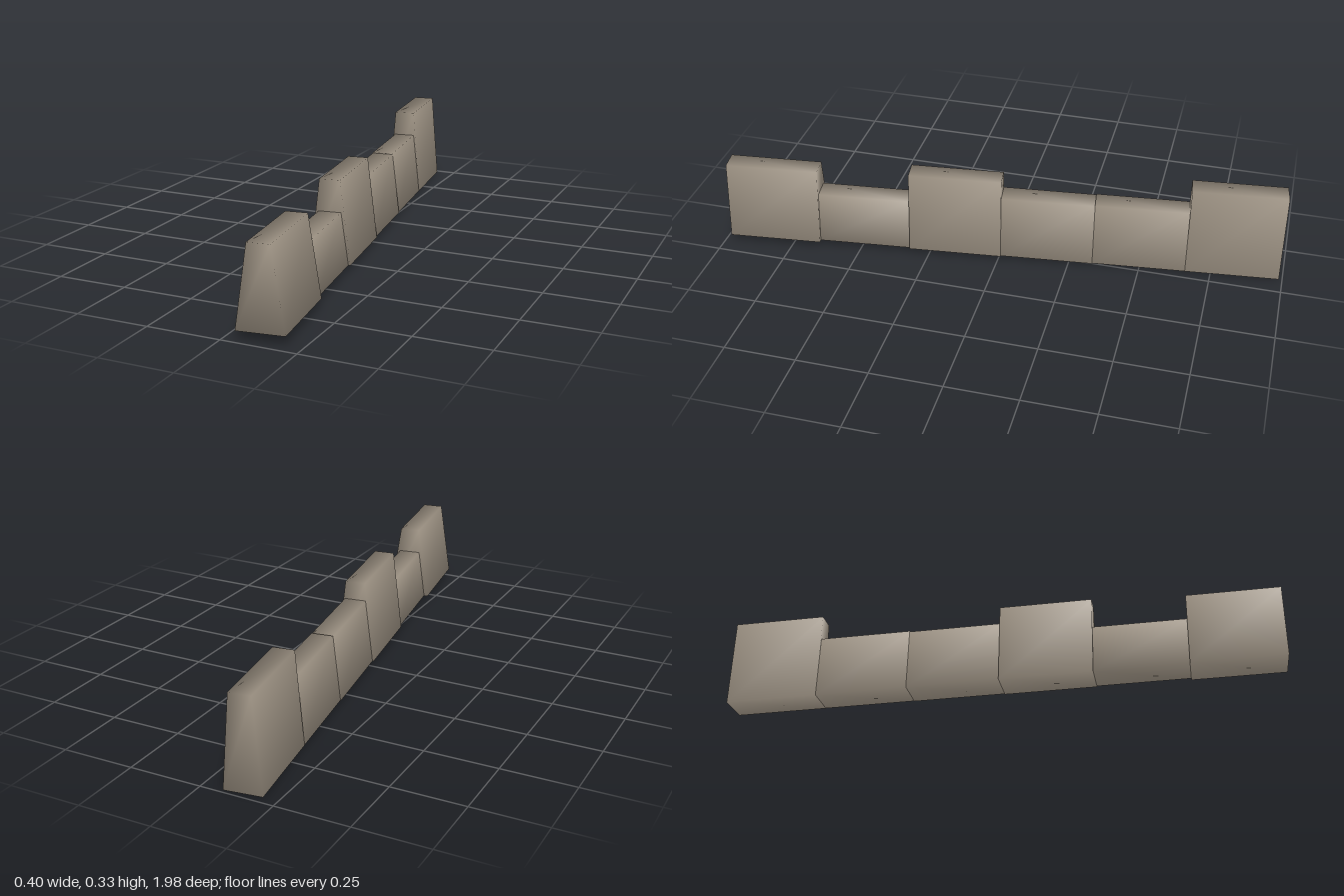
import * as THREE from 'three';
import { mergeVertices } from 'three/addons/utils/BufferGeometryUtils.js';

// Tapered stone block: local z runs along the wall, corners share smooth normals
function blockGeometry(i, height, baseWidth, topWidth) {
  const yaw = 0.131, half = 0.98 / Math.cos(yaw), step = (2 * half) / 6;
  const geo = new THREE.BoxGeometry(1, 1, 1);
  geo.deleteAttribute('normal');
  geo.deleteAttribute('uv');
  const pos = geo.attributes.position;
  for (let k = 0; k < pos.count; k++) {
    const top = pos.getY(k) > 0;
    const along = half - step * (i + 0.5 - pos.getZ(k));
    const across = pos.getX(k) * (top ? topWidth : baseWidth);
    // the wall climbs gently towards the front while its ends stay vertical
    const ground = 0.016 * (along / half + 1);
    pos.setXYZ(
      k,
      -0.007 + across * Math.cos(yaw) + along * Math.sin(yaw),
      ground + (top ? height : 0),
      along * Math.cos(yaw) - across * Math.sin(yaw)
    );
  }
  const merged = mergeVertices(geo);
  merged.computeVertexNormals();
  return merged;
}

export function createModel() {
  const group = new THREE.Group();
  group.name = 'stoneWall';
  const stone = new THREE.MeshStandardMaterial({ color: 0xa09586 });
  stone.name = 'stone';

  // front to back: height, base width, top width
  const blocks = [
    [0.274, 0.156, 0.073],
    [0.182, 0.128, 0.078],
    [0.293, 0.141, 0.072],
    [0.228, 0.132, 0.077],
    [0.231, 0.127, 0.076],
    [0.322, 0.128, 0.074],
  ];
  blocks.forEach((b, i) => {
    const mesh = new THREE.Mesh(blockGeometry(i, ...b), stone);
    mesh.name = 'wallBlock' + (i + 1);
    group.add(mesh);
  });
  return group;
}
